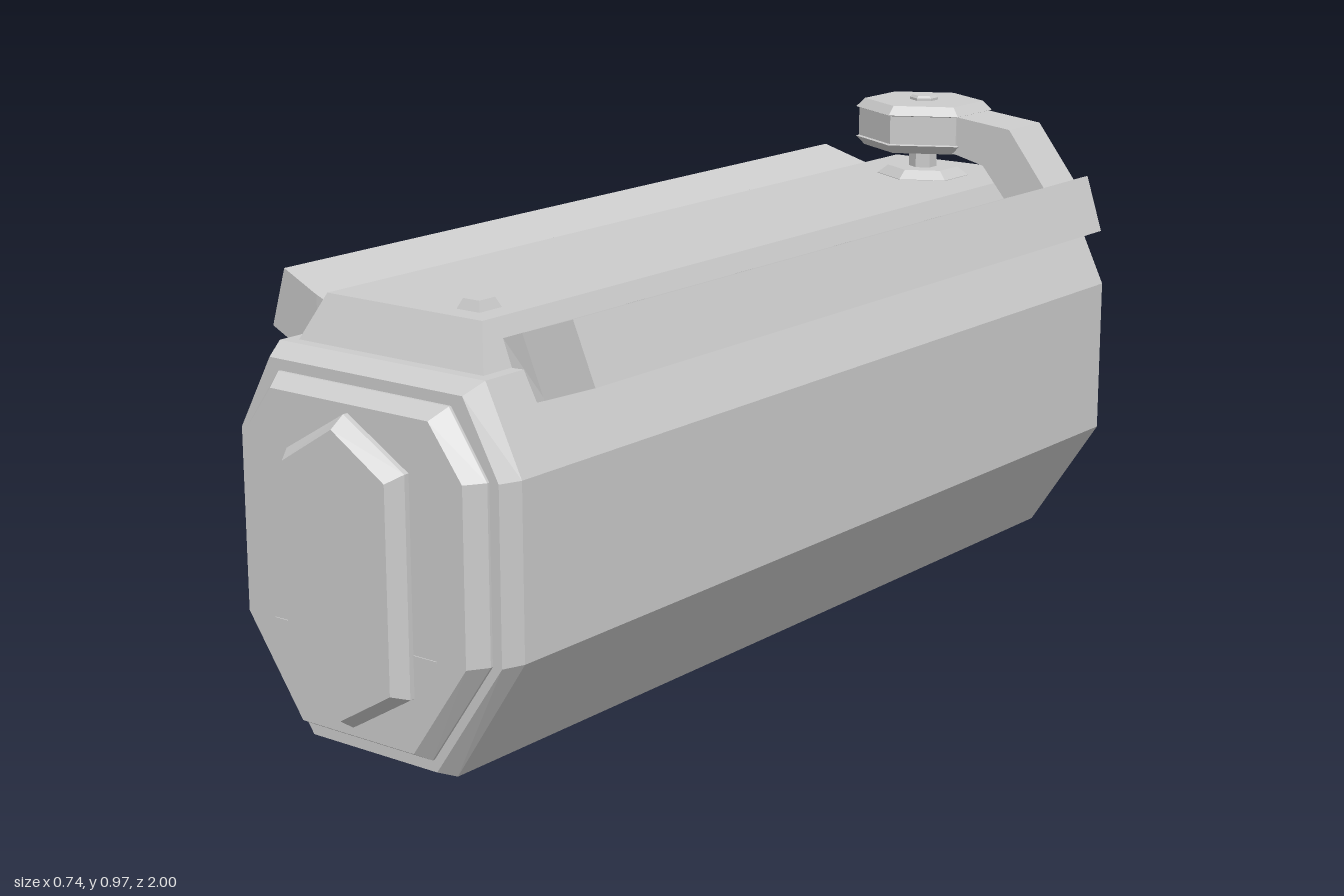
import * as THREE from 'three';

const material = new THREE.MeshStandardMaterial({ color: 0xcccccc, flatShading: true });

// Skin convex sections (counter-clockwise seen from +z), listed back to front.
// z may be a number or a function of x for slanted ends.
function loft(sections) {
  const pos = [];
  const rings = sections.map(([pts, z]) =>
    pts.map(([x, y]) => [x, y, typeof z === 'function' ? z(x) : z]));
  const tri = (a, b, c) => pos.push(...a, ...b, ...c);
  const n = rings[0].length;
  for (let k = 0; k + 1 < rings.length; k++) {
    for (let i = 0; i < n; i++) {
      const j = (i + 1) % n, A = rings[k], B = rings[k + 1];
      tri(A[i], A[j], B[j]);
      tri(A[i], B[j], B[i]);
    }
  }
  const back = rings[0], front = rings[rings.length - 1];
  for (let i = 1; i + 1 < n; i++) {
    tri(back[0], back[i + 1], back[i]);
    tri(front[0], front[i], front[i + 1]);
  }
  const g = new THREE.BufferGeometry();
  g.setAttribute('position', new THREE.Float32BufferAttribute(pos, 3));
  g.computeVertexNormals();
  return g;
}

const mirrorX = (pts) => pts.map(([x, y]) => [-x, y]).reverse();
const symmetric = (half) => [...half, ...mirrorX(half)];

// Octagonal hull section: bottom half-width/height, side half-width, top half-width/height
const octagon = (bx, by, sx, tx, ty) =>
  symmetric([[bx, by], [sx, 0.255], [sx, 0.57], [tx, ty]]);

// Tapered slab: rectangle [x, zBack, zFront] at y0 shrinking to another at y1
function taperedSlab([xa, ba, fa], y0, [xb, bb, fb], y1) {
  const g = loft([
    [[[-xa, -fa], [xa, -fa], [xa, -ba], [-xa, -ba]], y0],
    [[[-xb, -fb], [xb, -fb], [xb, -bb], [-xb, -bb]], y1],
  ]);
  return g.rotateX(-Math.PI / 2);
}

export function createModel() {
  const model = new THREE.Group();
  model.name = 'armoredCanister';
  const add = (name, geometry, parent = model) => {
    const mesh = new THREE.Mesh(geometry, material);
    mesh.name = name;
    parent.add(mesh);
    return mesh;
  };

  // Long hull with a chamfered front rim
  const hull = octagon(0.155, 0.02, 0.31, 0.235, 0.725);
  add('hull', loft([
    [hull, -1],
    [hull, 0.88],
    [octagon(0.145, 0.038, 0.295, 0.22, 0.705), 0.92],
  ]));

  // Stepped front plate and its raised hexagonal panel
  const plate = octagon(0.14, 0.06, 0.275, 0.195, 0.685);
  add('frontPlate', loft([
    [plate, 0.9],
    [plate, 0.925],
    [octagon(0.13, 0.08, 0.252, 0.18, 0.665), 0.96],
  ]));
  const hexPanel = (w, lo, loSide, hiSide, hi) =>
    [[0, lo], [w, loSide], [w, hiSide], [0, hi], [-w, hiSide], [-w, loSide]];
  const panel = hexPanel(0.135, 0.1, 0.18, 0.57, 0.65);
  add('frontPanel', loft([
    [panel, 0.95],
    [panel, 0.97],
    [hexPanel(0.117, 0.12, 0.19, 0.557, 0.63), 1],
  ]));
  for (const s of [-1, 1]) {
    add('frontSlit', new THREE.BoxGeometry(0.055, 0.003, 0.004)).position.set(s * 0.16, 0.255, 0.96);
  }

  // Keel below and sloped cover on top
  add('keel', taperedSlab([0.115, -0.96, 0.84], 0, [0.138, -0.99, 0.88], 0.022));
  add('topCover', taperedSlab([0.213, -0.98, 0.86], 0.72, [0.177, -0.94, 0.82], 0.805));
  add('coverStud', taperedSlab([0.028, -0.03, 0.03], 0.8, [0.018, -0.02, 0.02], 0.823))
    .position.set(0.108, 0, 0.75);

  // Tilted side rails, with teeth reaching the cover between five slots
  const railSection = [[0.235, 0.787], [0.275, 0.677], [0.37, 0.71], [0.33, 0.82]];
  const toothSection = [[0.195, 0.773], [0.235, 0.663], [0.277, 0.678], [0.237, 0.788]];
  const backEnd = (x) => -0.905 + Math.max(0, Math.abs(x) - 0.22) * 0.17;
  const frontEnd = (x) => 0.79 - Math.max(0, Math.abs(x) - 0.22) * 0.17;
  for (const side of [1, -1]) {
    const rail = new THREE.Group();
    rail.name = side > 0 ? 'leftRail' : 'rightRail';
    model.add(rail);
    const shape = (pts) => (side > 0 ? pts : mirrorX(pts));
    add('railBar', loft([[shape(railSection), backEnd], [shape(railSection), frontEnd]]), rail);
    for (let i = 0; i <= 5; i++) {
      const slot = -0.79 + i * 0.314;
      const from = i === 0 ? backEnd : slot - 0.115;
      const to = i === 5 ? frontEnd : slot;
      add('railTooth', loft([[shape(toothSection), from], [shape(toothSection), to]]), rail);
    }
  }

  // Six-sided valve: base, stem, wheel and cap, with a point towards the front
  const valve = new THREE.Group();
  valve.name = 'valve';
  valve.position.z = -0.77;
  valve.scale.x = 1.1;
  model.add(valve);
  const hexLathe = (profile) =>
    new THREE.LatheGeometry(profile.map(([r, y]) => new THREE.Vector2(r, y)), 6);
  add('valveBase', hexLathe([[0, 0.8], [0.088, 0.8], [0.088, 0.806], [0.068, 0.823], [0, 0.823]]), valve);
  add('valveStem', hexLathe([[0.027, 0.82], [0.027, 0.87]]), valve);
  add('valveWheel', hexLathe([
    [0, 0.865], [0.115, 0.865], [0.132, 0.883], [0.126, 0.885],
    [0.126, 0.943], [0.132, 0.945], [0.115, 0.963], [0, 0.963],
  ]), valve);
  add('valveCap', hexLathe([[0.027, 0.96], [0.027, 0.968], [0.022, 0.973], [0, 0.973]]), valve);

  // Bent pipe from the valve down into the left rail
  const pipe = new THREE.Shape([
    [0.09, 0.946], [0.11, 0.945], [0.245, 0.93], [0.33, 0.82], [0.34, 0.76],
    [0.26, 0.76], [0.238, 0.787], [0.185, 0.85], [0.12, 0.866], [0.09, 0.87],
  ].map(([x, y]) => new THREE.Vector2(x, y)));
  add('bentPipe', new THREE.ExtrudeGeometry(pipe, { depth: 0.12, bevelEnabled: false }))
    .position.z = -0.83;

  return model;
}
